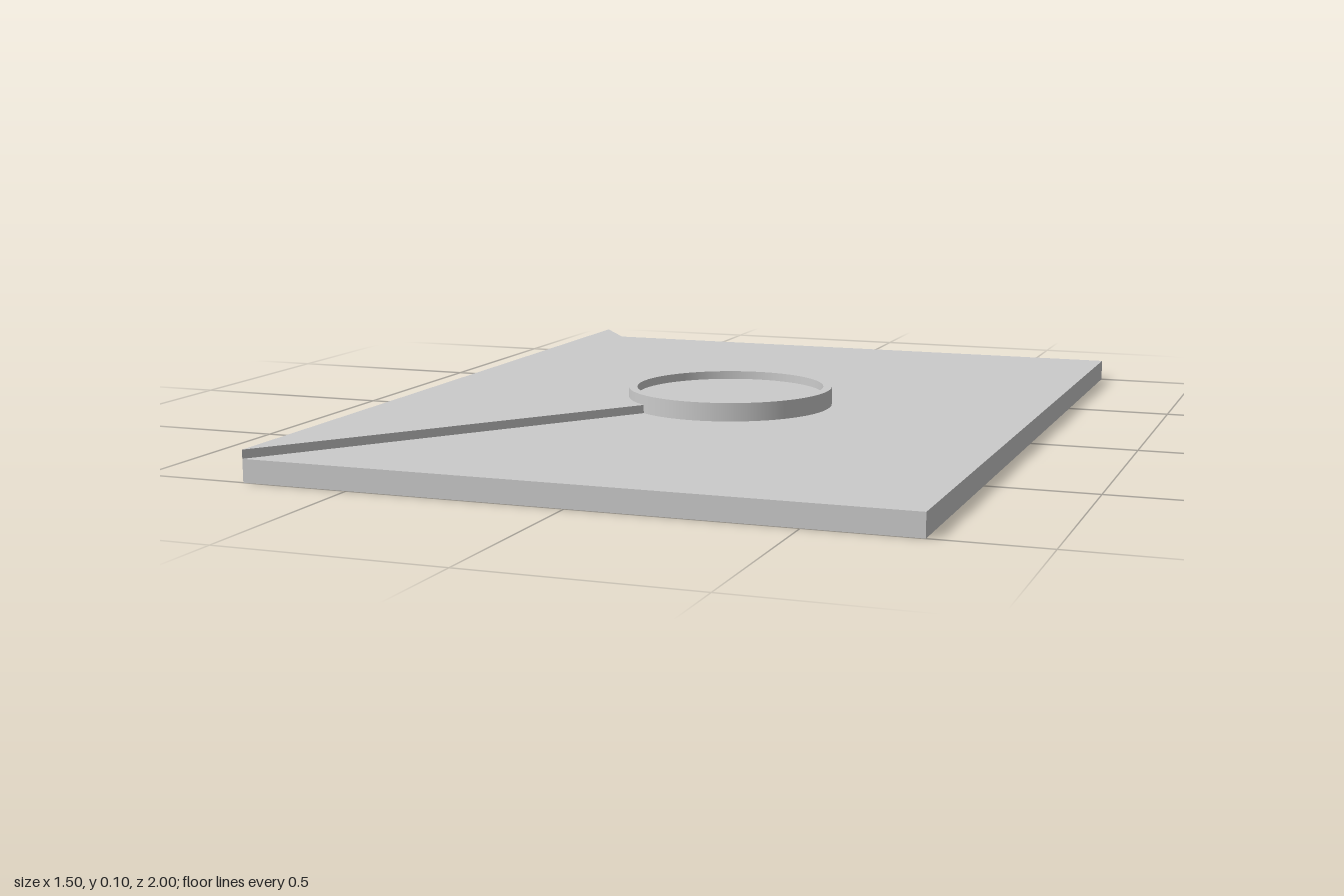
import * as THREE from 'three';

const BASE_TOP = 0.052, WEDGE_TOP = 0.072, FLOOR = 0.076, RIM_TOP = 0.096;

export function createModel() {
  const model = new THREE.Group();
  const material = new THREE.MeshStandardMaterial({ color: 0xcccccc });
  const add = (name, geometry, y = 0) => {
    const mesh = new THREE.Mesh(geometry, material);
    mesh.name = name;
    mesh.position.y = y;
    model.add(mesh);
  };

  // Flat rectangular slab
  add('baseSlab', new THREE.BoxGeometry(1.5, BASE_TOP, 2), BASE_TOP / 2);

  // Raised triangle from one long edge to the centre
  const triangle = new THREE.Shape([
    new THREE.Vector2(-0.75, -1),
    new THREE.Vector2(0, 0),
    new THREE.Vector2(-0.75, 1),
  ]);
  const wedge = new THREE.ExtrudeGeometry(triangle, { depth: WEDGE_TOP - BASE_TOP, bevelEnabled: false });
  wedge.rotateX(-Math.PI / 2);
  add('raisedTriangle', wedge, BASE_TOP);

  // Round rim, each straight run lathed apart so its edges stay sharp
  const outer = 0.25, inner = 0.229;
  const rim = [[outer, BASE_TOP], [outer, RIM_TOP], [inner, RIM_TOP], [inner, FLOOR]];
  const rimNames = ['rimOuterWall', 'rimTop', 'rimInnerWall'];
  rimNames.forEach((name, i) => {
    const points = [rim[i], rim[i + 1]].map(([r, y]) => new THREE.Vector2(r, y));
    add(name, new THREE.LatheGeometry(points, 64));
  });

  // Recessed disc inside the rim
  const disc = new THREE.CircleGeometry(inner, 64);
  disc.rotateX(-Math.PI / 2);
  add('recessedDisc', disc, FLOOR);

  return model;
}
